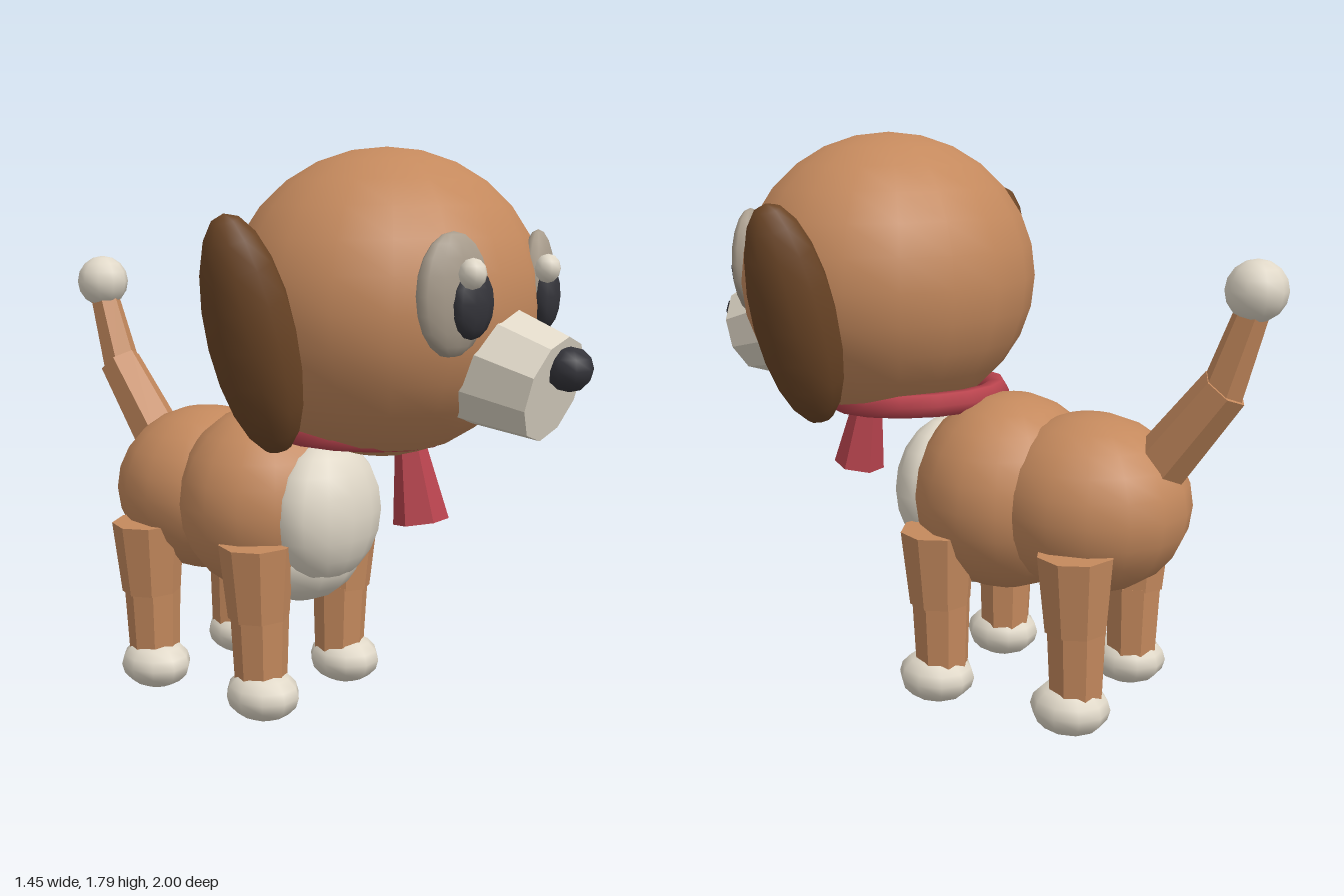
import * as THREE from 'three';

const colour = (name, hex) => {
  const m = new THREE.MeshStandardMaterial({ color: hex });
  m.name = name;
  return m;
};

export function createModel() {
  const brown = colour('brown fur', 0xc4895d);
  const dark = colour('dark brown fur', 0x6b4526);
  const cream = colour('cream fur', 0xe0d8c8);
  const grey = colour('eye grey', 0xa89c8c);
  const black = colour('black', 0x34343a);
  const red = colour('red cloth', 0xb8434d);

  const dog = new THREE.Group();
  dog.name = 'dog';

  const add = (name, geometry, material, position) => {
    const mesh = new THREE.Mesh(geometry, material);
    mesh.name = name;
    mesh.position.set(...position);
    dog.add(mesh);
    return mesh;
  };

  // Smooth ellipsoid with given radii
  const ball = (name, material, position, radii, w = 12, h = 8) =>
    add(name, new THREE.SphereGeometry(1, w, h).scale(...radii), material, position);

  // Faceted tapered cylinder running from one point to another
  const taper = (name, material, from, to, r0, r1, sides, turn = 0) => {
    const a = new THREE.Vector3(...from), b = new THREE.Vector3(...to);
    const g = new THREE.CylinderGeometry(r1, r0, a.distanceTo(b), sides).rotateY(turn).toNonIndexed();
    g.computeVertexNormals();
    const mesh = add(name, g, material, a.clone().add(b).multiplyScalar(0.5).toArray());
    mesh.quaternion.setFromUnitVectors(new THREE.Vector3(0, 1, 0), b.sub(a).normalize());
    return mesh;
  };

  // Body
  ball('chest', brown, [0, 0.67, -0.13], [0.33, 0.315, 0.3], 16, 12);
  ball('hips', brown, [0, 0.67, -0.41], [0.3, 0.28, 0.32], 16, 12);
  ball('chestPatch', cream, [0, 0.655, 0.1], [0.225, 0.232, 0.15], 14, 10);
  ball('belly', cream, [0, 0.5, -0.01], [0.195, 0.155, 0.2], 12, 10);

  // Head and muzzle
  ball('head', brown, [0, 1.33, 0.32], [0.515, 0.46, 0.46], 18, 14);
  taper('muzzle', cream, [0, 1.193, 0.6], [0, 1.115, 0.89], 0.195, 0.155, 10);
  ball('nose', black, [0, 1.175, 0.935], [0.075, 0.063, 0.065], 8, 6);

  // Ears and eyes on both sides
  for (const s of [-1, 1]) {
    const ear = ball('ear', dark, [0.565 * s, 1.265, 0.275], [0.12, 0.35, 0.13], 10, 10);
    ear.rotation.z = -0.33 * s;
    const eye = ball('eye', grey, [0.237 * s, 1.38, 0.7], [0.125, 0.17, 0.05], 12, 10);
    eye.rotation.y = 0.3 * s;
    const pupil = ball('pupil', black, [0.21 * s, 1.358, 0.745], [0.077, 0.098, 0.04], 10, 8);
    pupil.rotation.y = 0.2 * s;
    ball('eyeHighlight', cream, [0.21 * s - 0.05, 1.44, 0.775], [0.039, 0.042, 0.039], 8, 6);
  }

  // Collar and its hanging ribbon
  const collar = add('collar', new THREE.TorusGeometry(0.265, 0.04, 6, 16).rotateX(Math.PI / 2),
    red, [0, 0.955, 0.22]);
  collar.rotation.x = 0.04;
  taper('collarRibbon', red, [0, 0.675, 0.46], [0, 0.95, 0.41], 0.085, 0.04, 6, Math.PI / 6);

  // Legs
  for (const s of [-1, 1]) {
    for (const [place, z] of [['front', 0.0], ['hind', -0.475]]) {
      taper(place + 'UpperLeg', brown, [0.22 * s, 0.34, z], [0.23 * s, 0.58, z], 0.098, 0.12, 8);
      taper(place + 'LowerLeg', brown, [0.21 * s, 0.12, z], [0.215 * s, 0.35, z], 0.084, 0.094, 8);
      ball(place + 'Paw', cream, [0.22 * s, 0.085, z + 0.015], [0.112, 0.083, 0.125], 10, 8);
    }
  }

  // Tail
  taper('tailBase', brown, [0, 0.78, -0.61], [0, 1.07, -0.83], 0.09, 0.074, 6);
  taper('tailEnd', brown, [0, 1.04, -0.815], [0, 1.31, -0.905], 0.066, 0.05, 6);
  ball('tailTip', cream, [0, 1.355, -0.91], [0.09, 0.09, 0.09], 10, 8);

  return dog;
}
